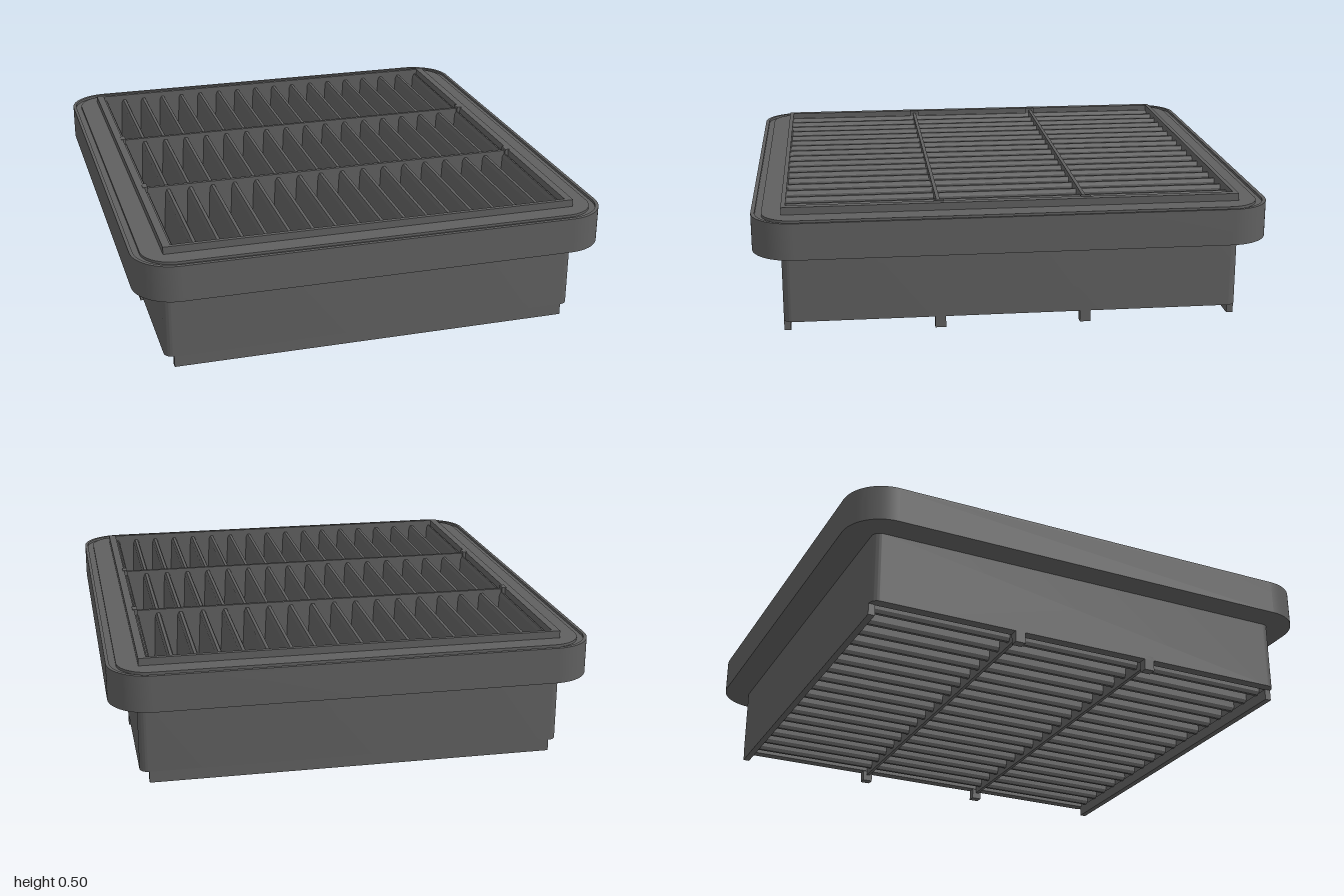
import * as THREE from 'three';
import { toCreasedNormals } from 'three/addons/utils/BufferGeometryUtils.js';

const grey = new THREE.MeshStandardMaterial({ color: 0x5f5f5f });
grey.name = 'dark grey plastic';
const pleatGrey = new THREE.MeshStandardMaterial({ color: 0x5f5f5f, side: THREE.DoubleSide });
pleatGrey.name = 'dark grey pleat media';

const IN_X = 0.79, IN_Z = 0.868; // half size of the opening

// Rounded rectangle from half sizes and corner radius
function rounded(Type, hx, hz, r) {
  const s = new Type();
  if (r === 0) {
    s.moveTo(-hx, -hz).lineTo(hx, -hz).lineTo(hx, hz).lineTo(-hx, hz).closePath();
    return s;
  }
  s.absarc(hx - r, hz - r, r, 0, Math.PI / 2);
  s.absarc(-hx + r, hz - r, r, Math.PI / 2, Math.PI);
  s.absarc(-hx + r, -hz + r, r, Math.PI, Math.PI * 1.5);
  s.absarc(hx - r, -hz + r, r, Math.PI * 1.5, Math.PI * 2);
  s.closePath();
  return s;
}

export function createModel() {
  const model = new THREE.Group();
  model.name = 'panelAirFilter';

  function add(name, geometry, material = grey) {
    const mesh = new THREE.Mesh(geometry, material);
    mesh.name = name;
    model.add(mesh);
    return mesh;
  }

  // Horizontal ring between an outer and an inner rounded rectangle
  function ring(name, y0, y1, [ox, oz, or], [ix, iz, ir] = [IN_X, IN_Z, 0]) {
    const shape = rounded(THREE.Shape, ox, oz, or);
    shape.holes.push(rounded(THREE.Path, ix, iz, ir));
    const g = new THREE.ExtrudeGeometry(shape, { depth: y1 - y0, bevelEnabled: false, curveSegments: 12 });
    g.rotateX(-Math.PI / 2).translate(0, y0, 0);
    add(name, toCreasedNormals(g, 0.6));
  }

  function box(name, w, h, d, x, y, z) {
    add(name, new THREE.BoxGeometry(w, h, d)).position.set(x, y, z);
  }

  // Housing and sealing flange with a shallow groove near its edge
  ring('housingWall', 0.045, 0.33, [0.83, 0.89, 0.035]);
  ring('sealFlange', 0.33, 0.463, [0.938, 1, 0.165]);
  ring('flangeOuterRim', 0.463, 0.473, [0.938, 1, 0.165], [0.925, 0.985, 0.15]);
  ring('flangeTop', 0.463, 0.473, [0.9, 0.96, 0.125]);
  ring('openingLip', 0.473, 0.502, [0.82, 0.885, 0]);

  for (const s of [-1, 1]) {
    // Skirts along front and back reach the ground, stopping short of the corners
    box('bottomSkirt', 1.59, 0.045, 0.026, 0, 0.0225, s * 0.877);
    // Thin full-depth dividers through the pleats, with end tabs and feet
    const z = s * 0.285;
    box('divider', IN_X * 2, 0.47, 0.014, 0, 0.26, z);
    for (const x of [-1, 1]) {
      box('dividerTab', 0.02, 0.04, 0.04, x * 0.787, 0.484, z);
      box('foot', 0.035, 0.06, 0.042, x * 0.8125, 0.03, z);
    }
  }

  // Pleated media: folds with blunt, chamfered crests and valleys, crest at each side
  const pleats = 17, halfWidth = 0.783, low = 0.04, high = 0.48;
  const pitch = (halfWidth * 2) / pleats, flat = 0.006, shoulder = 0.013, drop = 0.014;
  const profile = [[-halfWidth, high]];
  for (let i = 0; i < pleats; i++) {
    const x = -halfWidth + i * pitch, mid = x + pitch / 2, end = x + pitch;
    profile.push(
      [x + flat, high], [x + shoulder, high - drop],
      [mid - shoulder, low + drop], [mid - flat, low], [mid + flat, low], [mid + shoulder, low + drop],
      [end - shoulder, high - drop], [end - flat, high]);
  }
  profile.push([halfWidth, high]);
  const positions = [];
  for (let i = 0; i < profile.length - 1; i++) {
    const [ax, ay] = profile[i], [bx, by] = profile[i + 1];
    const a0 = [ax, ay, -IN_Z], a1 = [ax, ay, IN_Z], b0 = [bx, by, -IN_Z], b1 = [bx, by, IN_Z];
    positions.push(...a0, ...a1, ...b1, ...a0, ...b1, ...b0);
  }
  const media = new THREE.BufferGeometry();
  media.setAttribute('position', new THREE.Float32BufferAttribute(positions, 3));
  media.computeVertexNormals();
  add('pleatedMedia', media, pleatGrey);

  return model;
}
